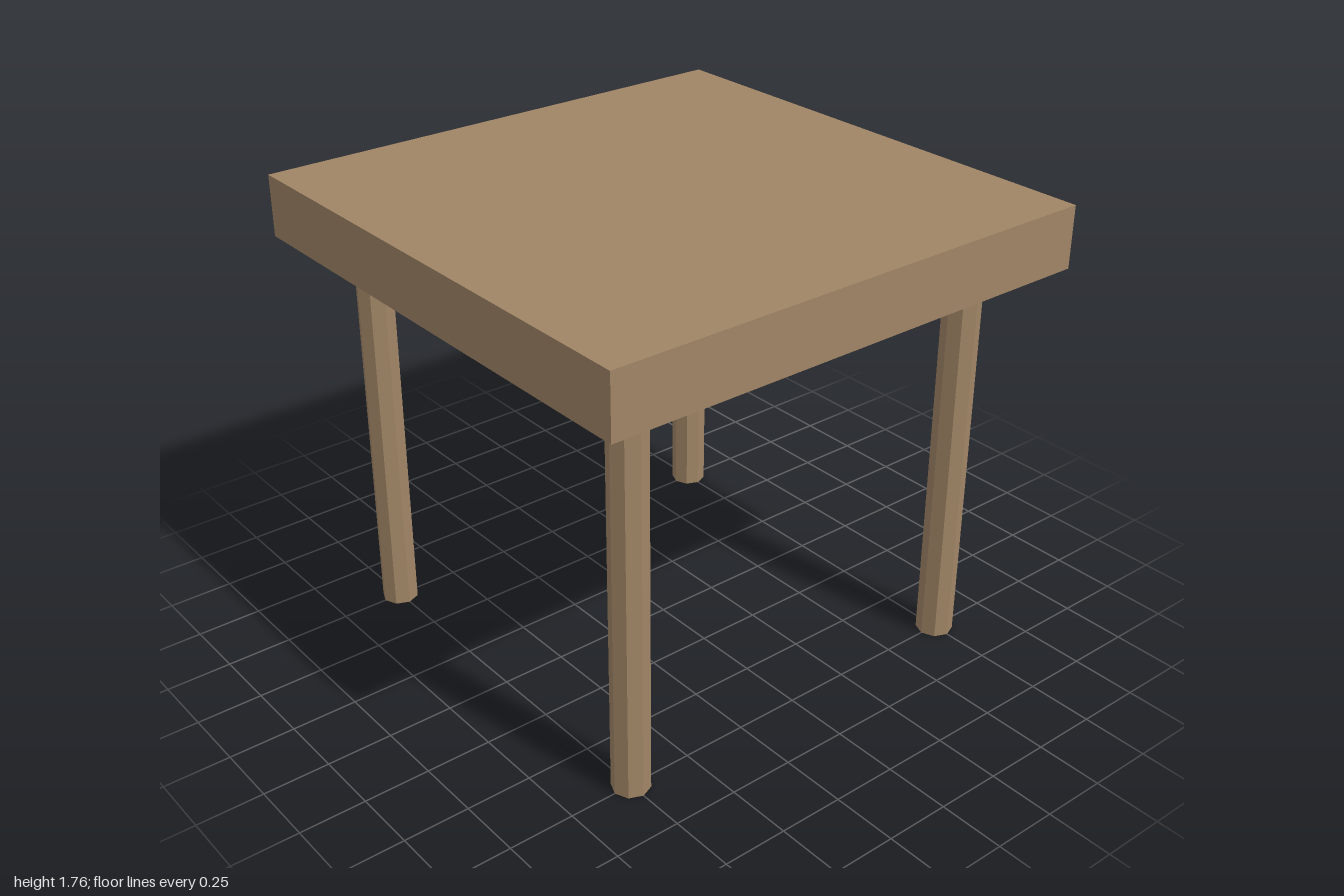
import * as THREE from 'three';

const LEG_HEIGHT = 1.53;
const TOP_HEIGHT = 1.765;

export function createModel() {
  const group = new THREE.Group();
  group.name = 'table';

  const wood = new THREE.MeshStandardMaterial({ color: 0xa08566 });
  wood.name = 'wood';
  wood.flatShading = true;

  // Thick square slab
  const thickness = TOP_HEIGHT - LEG_HEIGHT;
  const top = new THREE.Mesh(new THREE.BoxGeometry(2, thickness, 2), wood);
  top.name = 'tableTop';
  top.position.y = LEG_HEIGHT + thickness / 2;
  group.add(top);

  // Four eight-sided legs, set in from the corners
  const legGeometry = new THREE.CylinderGeometry(0.07, 0.07, LEG_HEIGHT, 8);
  for (const [zName, z] of [['front', 0.75], ['back', -0.75]]) {
    for (const [xName, x] of [['Left', 0.75], ['Right', -0.75]]) {
      const leg = new THREE.Mesh(legGeometry, wood);
      leg.name = `${zName}${xName}Leg`;
      leg.position.set(x, LEG_HEIGHT / 2, z);
      group.add(leg);
    }
  }

  return group;
}
